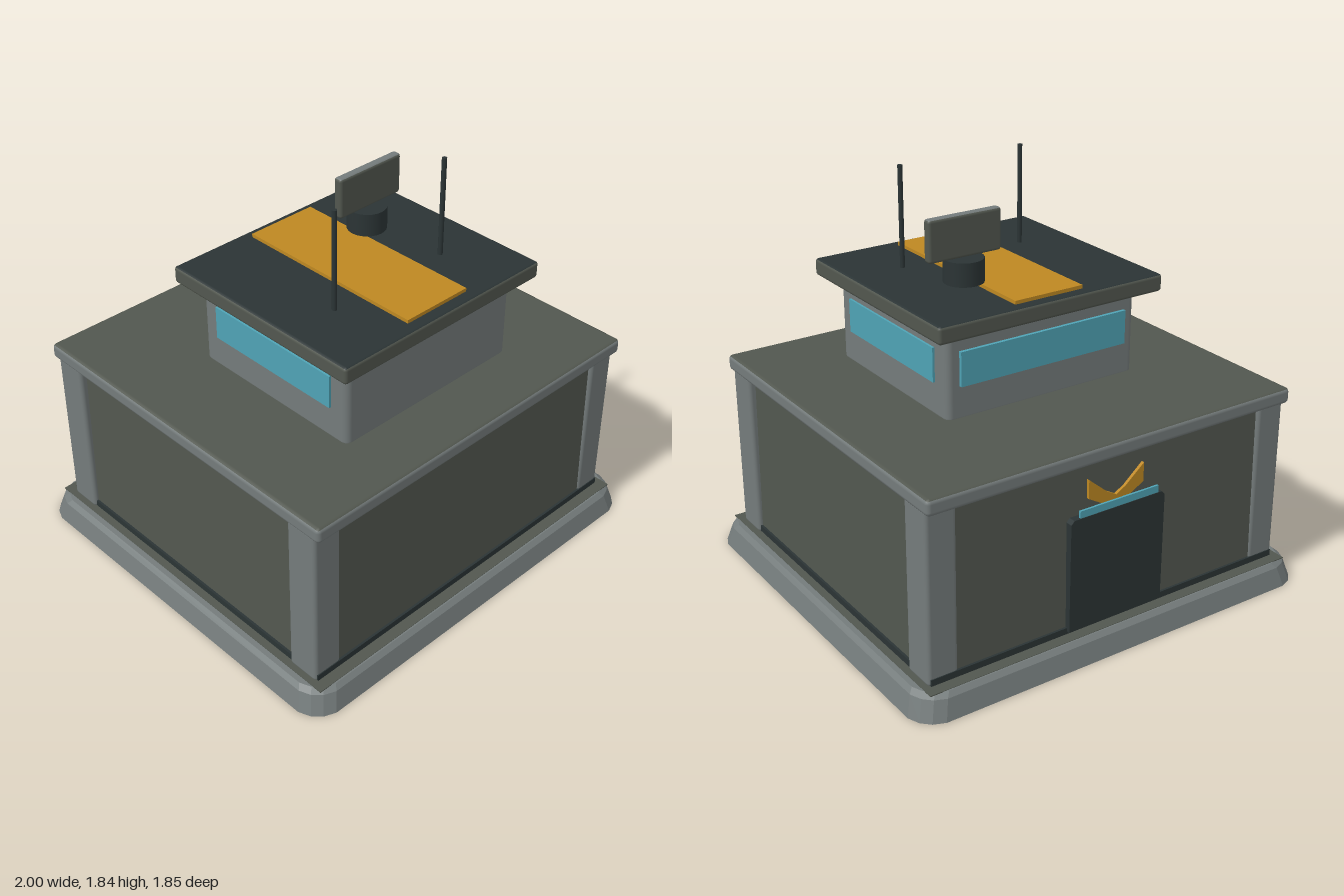
import * as THREE from 'three';
import { RoundedBoxGeometry } from 'three/addons/geometries/RoundedBoxGeometry.js';

const mat = (name, color, side = THREE.FrontSide) => {
  const m = new THREE.MeshStandardMaterial({ color, side });
  m.name = name;
  return m;
};

export function createModel() {
  const grey = mat('light grey', 0x747b7b);
  const olive = mat('olive grey', 0x52574f);
  const dark = mat('dark slate', 0x2b3435);
  const amber = mat('amber', 0xbe8822);
  const blue = mat('window blue', 0x4fa3b5);

  const model = new THREE.Group();
  model.name = 'bunker';

  const add = (name, geometry, material, parent = model) => {
    const mesh = new THREE.Mesh(geometry, material);
    mesh.name = name;
    parent.add(mesh);
    return mesh;
  };
  // Boxes are given by their ranges on each axis
  const place = (mesh, x, y, z) => {
    mesh.position.set((x[0] + x[1]) / 2, (y[0] + y[1]) / 2, (z[0] + z[1]) / 2);
    return mesh;
  };
  const size = r => r[1] - r[0];
  const box = (name, x, y, z, material, parent) =>
    place(add(name, new THREE.BoxGeometry(size(x), size(y), size(z)), material, parent), x, y, z);
  const rounded = (name, x, y, z, radius, material, parent) =>
    place(add(name, new RoundedBoxGeometry(size(x), size(y), size(z), 2, radius), material, parent), x, y, z);
  // Different material on the top face of a box
  const topped = (side, top) => [side, side, top, side, side, side];

  // Foundation: rounded plan, sloping sides, softened upper edge
  const hx = 1, hz = 0.927, r = 0.11;
  const plan = new THREE.Shape();
  plan.moveTo(-hx + r, -hz);
  plan.lineTo(hx - r, -hz);
  plan.quadraticCurveTo(hx - 0.02, -hz + 0.02, hx, -hz + r);
  plan.lineTo(hx, hz - r);
  plan.quadraticCurveTo(hx - 0.02, hz - 0.02, hx - r, hz);
  plan.lineTo(-hx + r, hz);
  plan.quadraticCurveTo(-hx + 0.02, hz - 0.02, -hx, hz - r);
  plan.lineTo(-hx, -hz + r);
  plan.quadraticCurveTo(-hx + 0.02, -hz + 0.02, -hx + r, -hz);
  const foundation = new THREE.ExtrudeGeometry(plan, {
    depth: 0.106, steps: 2, bevelEnabled: false, curveSegments: 3,
  });
  foundation.rotateX(-Math.PI / 2);
  const fp = foundation.attributes.position;
  for (let i = 0; i < fp.count; i++) {
    const y = fp.getY(i);
    if (y < 0.01) continue;
    const inset = y > 0.1 ? 0.045 : 0.025;
    fp.setX(i, fp.getX(i) * (1 - inset / hx));
    fp.setZ(i, fp.getZ(i) * (1 - inset / hz));
    if (y < 0.1) fp.setY(i, 0.088);
  }
  foundation.computeVertexNormals();
  add('foundation', foundation, grey);
  box('foundationDeck', [-0.93, 0.93], [0.104, 0.108], [-0.875, 0.875], olive);

  // Main walls, leaning slightly inward
  const wallGeo = new THREE.BoxGeometry(1.77, 0.78, 1.63);
  const wp = wallGeo.attributes.position;
  for (let i = 0; i < wp.count; i++) {
    if (wp.getY(i) > 0) {
      wp.setX(i, wp.getX(i) * 0.985);
      wp.setZ(i, wp.getZ(i) * 0.985);
    }
  }
  wallGeo.computeVertexNormals();
  add('walls', wallGeo, olive).position.y = 0.49;
  box('skirting', [-0.895, 0.895], [0.1, 0.137], [-0.825, 0.825], dark);

  // Corner pillars
  for (const sx of [-1, 1]) {
    for (const sz of [-1, 1]) {
      const p = rounded('cornerPillar', [-0.07, 0.07], [0.1, 0.88], [-0.078, 0.078], 0.018, grey);
      p.position.x = sx * 0.835;
      p.position.z = sz * 0.743;
    }
  }

  // Main roof slab
  rounded('mainRoof', [-0.913, 0.913], [0.863, 0.935], [-0.852, 0.852], 0.02, topped(grey, olive));

  // Upper cabin
  const cabin = new THREE.Group();
  cabin.name = 'upperCabin';
  model.add(cabin);
  rounded('cabinWalls', [-0.48, 0.48], [0.91, 1.305], [-0.312, 0.557], 0.03, grey, cabin);
  for (const s of [-1, 1]) {
    const w = box('sideWindow', [-0.005, 0.005], [1.077, 1.23], [-0.22, 0.467], blue, cabin);
    w.position.x = s * 0.485;
  }
  box('backWindow', [-0.42, 0.42], [1.077, 1.23], [-0.327, -0.31], blue, cabin);
  rounded('cabinRoof', [-0.563, 0.563], [1.308, 1.386], [-0.393, 0.635], 0.015, topped(olive, dark), cabin);
  box('roofStripe', [-0.17, 0.17], [1.38, 1.402], [-0.345, 0.58], amber, cabin);

  // Antennas
  for (const s of [-1, 1]) {
    add('antenna', new THREE.CylinderGeometry(0.011, 0.011, 0.46, 10), dark)
      .position.set(s * 0.308, 1.61, 0.308);
  }

  // Radar: pedestal and flat panel
  add('radarPedestal', new THREE.CylinderGeometry(0.088, 0.088, 0.105, 24), dark)
    .position.set(0.22, 1.462, -0.042);
  rounded('radarPanel', [0.043, 0.4], [1.518, 1.705], [-0.064, -0.02], 0.014, topped(olive, grey));

  // Back door with chamfered upper corners
  const doorShape = new THREE.Shape([
    [-0.24, 0.12], [0.24, 0.12], [0.24, 0.62], [0.225, 0.636], [-0.225, 0.636], [-0.24, 0.62],
  ].map(p => new THREE.Vector2(...p)));
  add('backDoor', new THREE.ExtrudeGeometry(doorShape, { depth: 0.05, bevelEnabled: false }), dark)
    .position.z = -0.84;
  box('doorLight', [-0.2, 0.2], [0.642, 0.674], [-0.846, -0.836], blue);

  // Winged trim above the door
  const trim = new THREE.Shape([
    [0, 0.59], [0.07, 0.66], [0.14, 0.7], [0.14, 0.785], [0.045, 0.705],
    [0, 0.68], [-0.045, 0.705], [-0.14, 0.785], [-0.14, 0.7], [-0.07, 0.66],
  ].map(p => new THREE.Vector2(...p)));
  add('doorTrim', new THREE.ExtrudeGeometry(trim, { depth: 0.015, bevelEnabled: false }), amber)
    .position.z = -0.819;

  return model;
}
